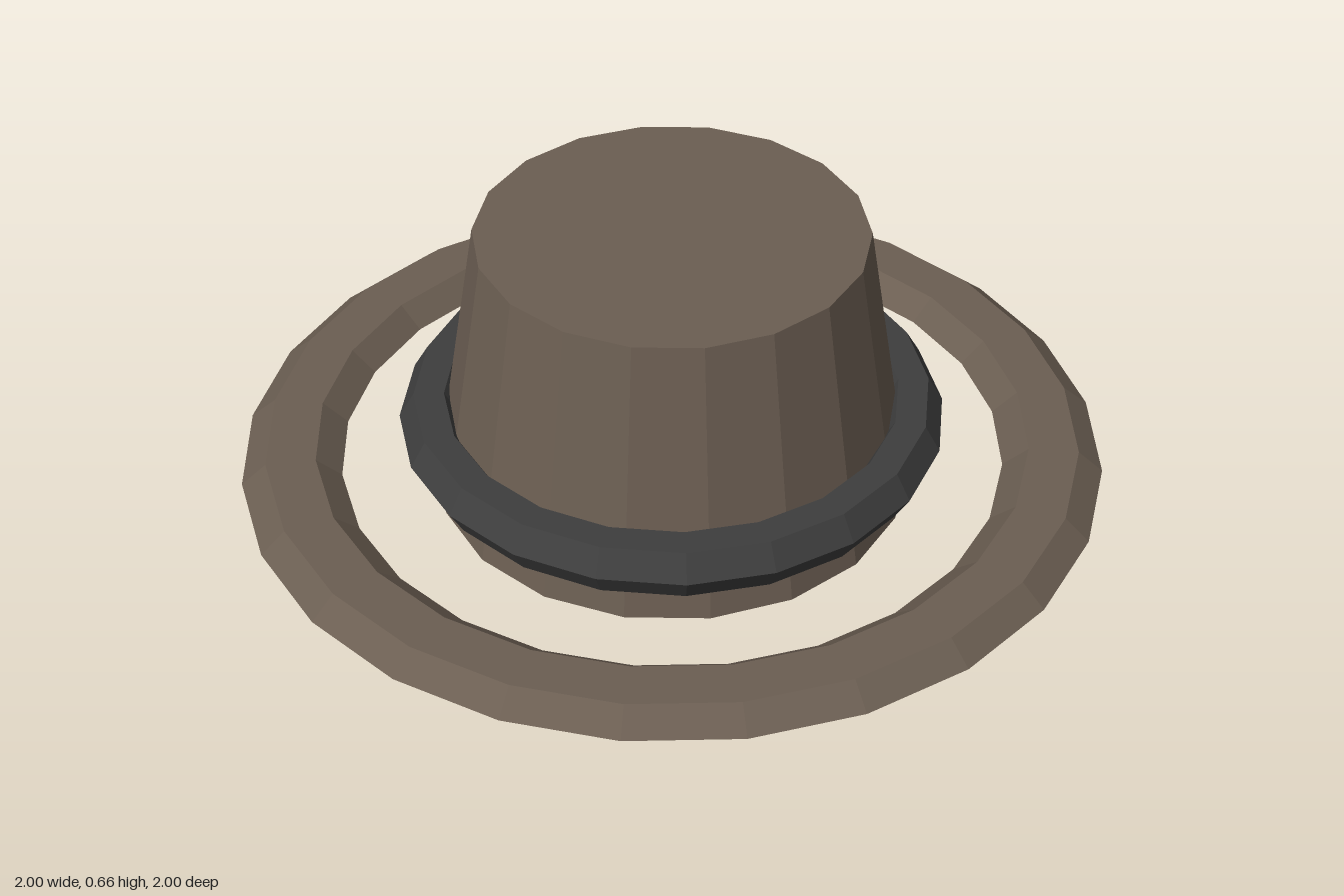
import * as THREE from 'three';

export function createModel() {
  const model = new THREE.Group();
  model.name = 'hat';
  const felt = new THREE.MeshStandardMaterial({ color: 0x6b5e52, flatShading: true });
  const ribbon = new THREE.MeshStandardMaterial({ color: 0x3e3e3e, flatShading: true });

  const add = (name, geometry, material, y) => {
    const mesh = new THREE.Mesh(geometry, material);
    mesh.name = name;
    mesh.position.y = y;
    model.add(mesh);
  };

  // Horizontal ring with a hexagonal section, optionally flattened
  const ring = (radius, tube, sides, flatten = 1) =>
    new THREE.TorusGeometry(radius, tube, 6, sides).rotateX(-Math.PI / 2).scale(1, flatten, 1);

  // Tapered crown, closed at both ends
  add('crown', new THREE.CylinderGeometry(0.445, 0.55, 0.66, 18), felt, 0.33);

  // Band around the crown
  add('band', ring(0.56, 0.07, 20), ribbon, 0.17);

  // Flattened brim ring, standing free of the crown
  add('brim', ring(0.885, 0.115, 24, 0.5), felt, 0.065);

  return model;
}
